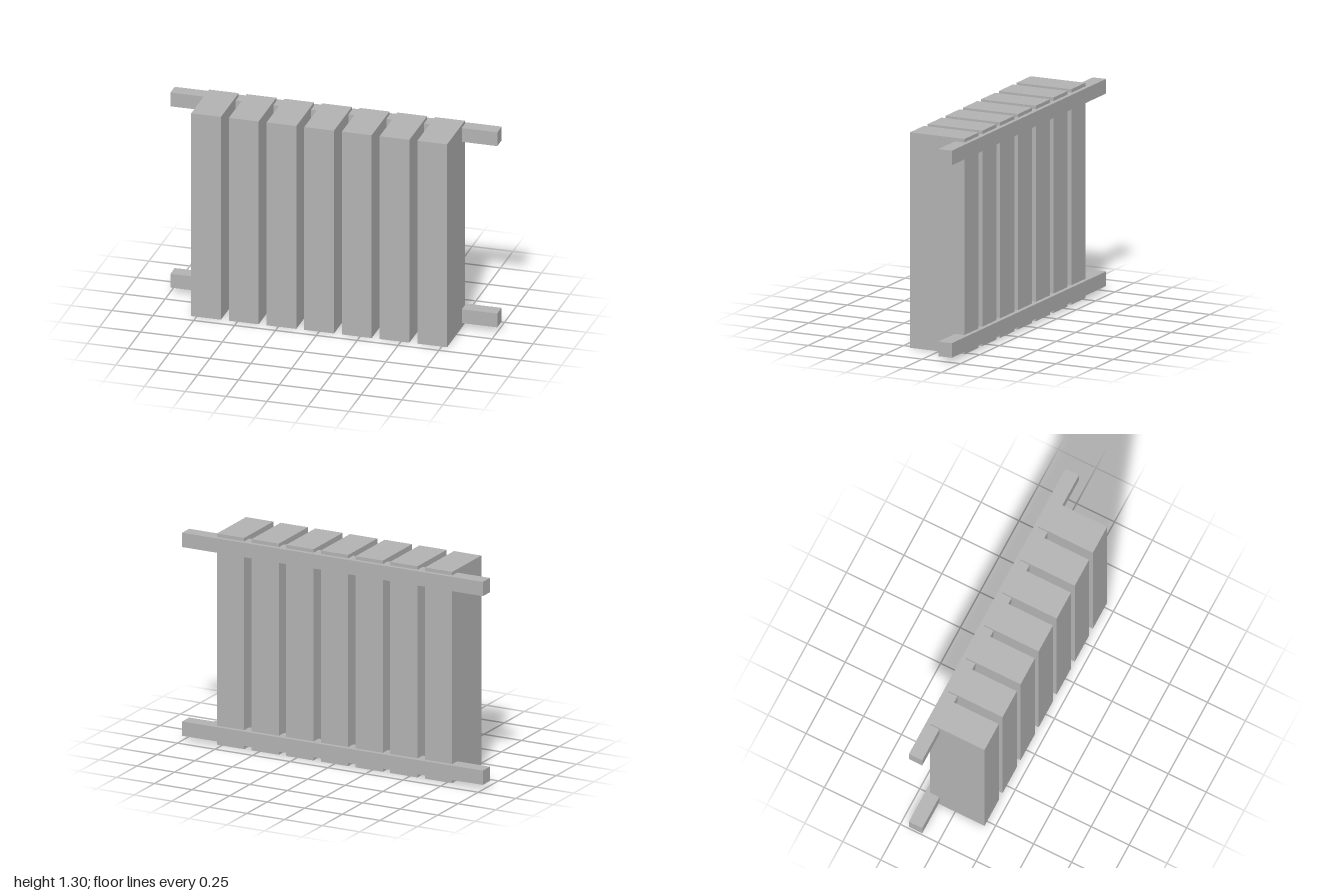
import * as THREE from 'three';

export function createModel() {
  const model = new THREE.Group();
  model.name = 'radiator';
  const grey = new THREE.MeshStandardMaterial({ color: 0xb2b2b2 });
  grey.name = 'grey metal';

  const addBox = (name, size, position) => {
    const mesh = new THREE.Mesh(new THREE.BoxGeometry(...size), grey);
    mesh.name = name;
    mesh.position.set(...position);
    model.add(mesh);
  };

  // Seven evenly spaced upright sections
  const height = 1.298;
  for (let i = -3; i <= 3; i++) {
    addBox('section' + (i + 4), [0.182, height, 0.36], [i * 0.2305, height / 2, 0.013]);
  }

  // Square rails set into the back of the sections
  addBox('lowerRail', [2, 0.088, 0.088], [0, 0.073, -0.149]);
  addBox('upperRail', [2, 0.088, 0.088], [0, 1.233, -0.149]);

  return model;
}
